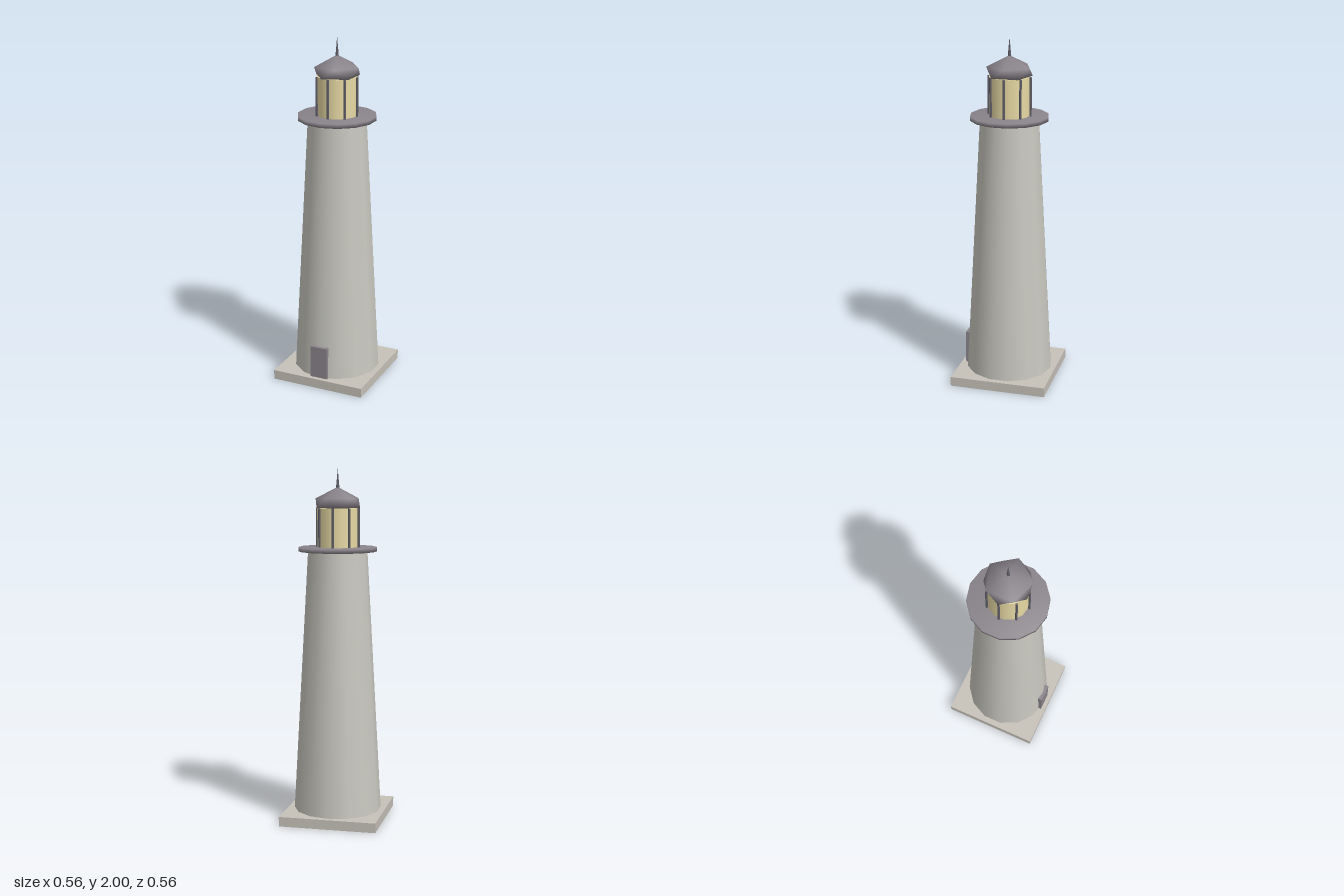
import * as THREE from 'three';
import { mergeVertices } from 'three/addons/utils/BufferGeometryUtils.js';

const mat = (name, color) => new THREE.MeshStandardMaterial({ name, color });

// Share every corner so shading rolls over the edges
function softened(geometry) {
  geometry.deleteAttribute('normal');
  geometry.deleteAttribute('uv');
  const merged = mergeVertices(geometry, 1e-4);
  merged.computeVertexNormals();
  return merged;
}

// Five-sided cap made of two staggered rings and an apex
function roofGeometry(radius, yLow, yHigh, yApex) {
  const pos = [];
  const ring = (y, start) => {
    for (let i = 0; i < 5; i++) {
      const a = start + (i * Math.PI * 2) / 5;
      pos.push(radius * Math.cos(a), y, radius * Math.sin(a));
    }
  };
  ring(yLow, Math.PI / 5); // 0-4, between the upper corners
  ring(yHigh, 0); // 5-9
  pos.push(0, yApex, 0, 0, yLow, 0); // 10 apex, 11 underside centre
  const index = [];
  for (let i = 0; i < 5; i++) {
    const j = (i + 1) % 5;
    index.push(10, 5 + j, 5 + i); // slope
    index.push(5 + i, 5 + j, i); // tilted outward
    index.push(i, 5 + j, j); // overhanging
    index.push(11, i, j); // underside
  }
  const g = new THREE.BufferGeometry();
  g.setAttribute('position', new THREE.Float32BufferAttribute(pos, 3));
  g.setIndex(index);
  g.computeVertexNormals();
  return g;
}

export function createModel() {
  const model = new THREE.Group();
  model.name = 'lighthouse';
  const stone = mat('pale stone', 0xc9c8c0);
  const plinth = mat('warm stone', 0xc6c1b8);
  const slate = mat('slate', 0x8a848b);
  const metal = mat('dark metal', 0x62606a);
  const glow = mat('lit glass', 0xeadca6);

  const add = (name, geometry, material, x = 0, y = 0, z = 0, parent = model) => {
    const mesh = new THREE.Mesh(geometry, material);
    mesh.name = name;
    mesh.position.set(x, y, z);
    parent.add(mesh);
    return mesh;
  };

  // Base, tower and door
  add('base', new THREE.BoxGeometry(0.556, 0.055, 0.556), plinth, 0, 0.0275, 0);
  add('tower', new THREE.CylinderGeometry(0.167, 0.25, 1.495, 14), stone, 0, 0.8025, 0);
  add('door', new THREE.BoxGeometry(0.102, 0.19, 0.03), slate, 0, 0.15, 0.239);

  // Walkway around the lantern room
  add('gallery', softened(new THREE.CylinderGeometry(0.222, 0.222, 0.024, 14)), slate, 0, 1.553, 0);

  // Lantern room with eight slim bars
  add('lanternGlass', new THREE.CylinderGeometry(0.115, 0.115, 0.22, 14), glow, 0, 1.673, 0);
  const bars = new THREE.Group();
  bars.name = 'lanternBars';
  model.add(bars);
  const barGeometry = new THREE.CylinderGeometry(0.007, 0.007, 0.22, 4);
  for (let i = 0; i < 8; i++) {
    const a = (i * Math.PI) / 4;
    add('lanternBar', barGeometry, metal, 0.12 * Math.sin(a), 1.673, 0.12 * Math.cos(a), bars);
  }

  // Roof and spike
  add('roof', roofGeometry(0.128, 1.784, 1.836, 1.9), slate);
  add('spike', new THREE.ConeGeometry(0.011, 0.115, 4), metal, 0, 1.9425, 0);

  return model;
}
